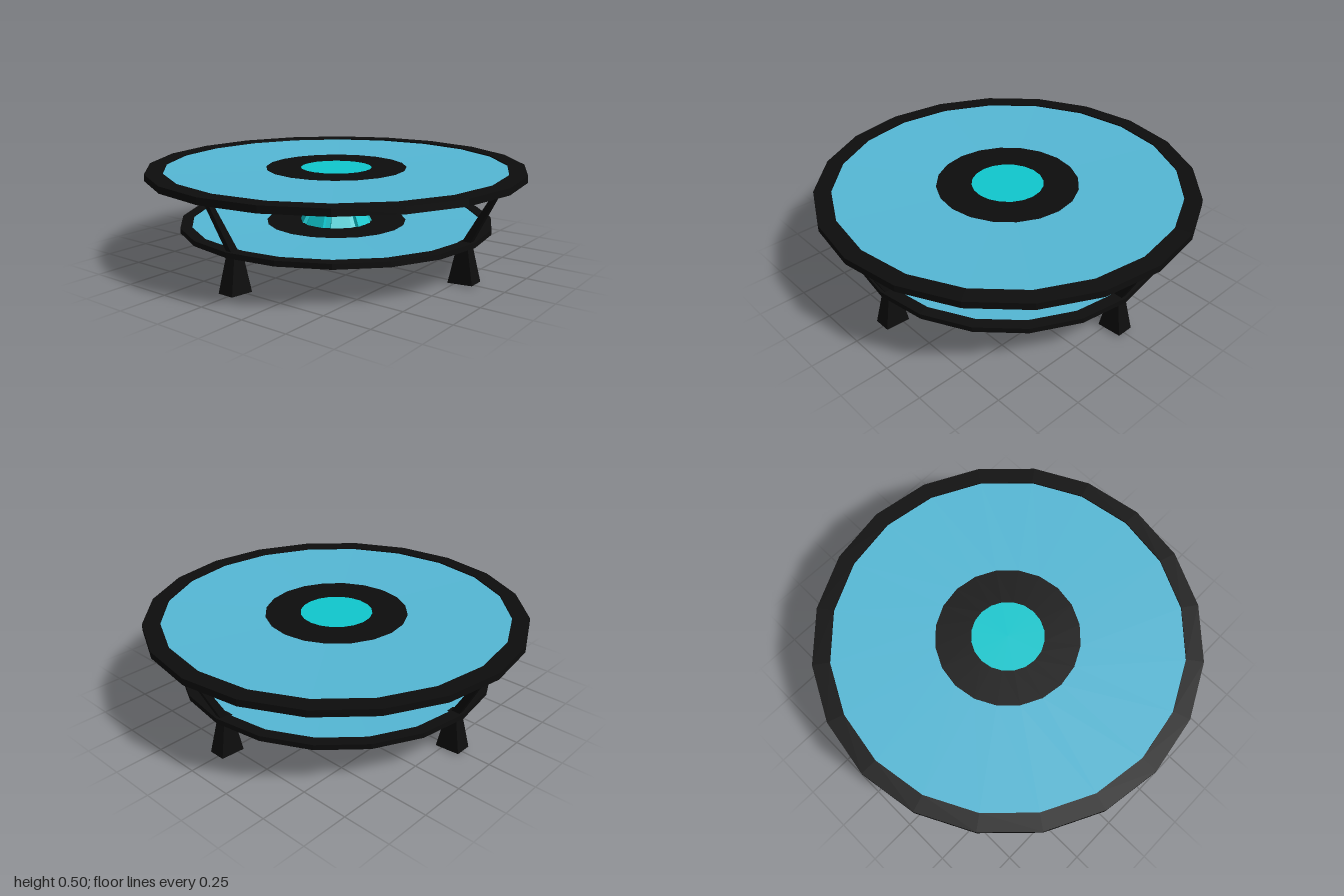
import * as THREE from 'three';

const SIDES = 20;
const material = (color) => new THREE.MeshStandardMaterial({ color, flatShading: true, side: THREE.DoubleSide });
const black = material(0x0d0d0d);
const glass = material(0x55b8d6);
const teal = material(0x10c8cf);

function part(name, geometry, mat) {
  const mesh = new THREE.Mesh(geometry, mat);
  mesh.name = name;
  return mesh;
}

// Closed [radius, height] outline turned about the y axis
function turned(name, outline, mat) {
  const points = [...outline, outline[0]].map(([r, y]) => new THREE.Vector2(r, y));
  return part(name, new THREE.LatheGeometry(points, SIDES), mat);
}

// Disc that dips toward the middle, with a black rim and a black centre ring
function shelf(name, y0, y1, rimOuter, rimInner, low) {
  const group = new THREE.Group();
  group.name = name;
  const ringInner = 0.19, ringOuter = 0.375;
  const top = y1 - 0.007;
  group.add(
    turned('rim', [[rimInner, y0], [rimOuter, y0], [rimOuter, y1], [rimInner, y1]], black),
    turned('glassPlate', [[ringOuter, low + 0.003], [rimInner, y0 + 0.006], [rimInner, top], [ringOuter, top - 0.008]], glass),
    turned('centreRing', [[ringInner, low], [ringOuter, low + 0.002], [ringOuter, top - 0.007], [ringInner, top - 0.009]], black),
  );
  return group;
}

// Surface through equal-length cross-section loops, optionally capped
function loft(loops, capped) {
  const n = loops[0].length;
  const index = [];
  for (let k = 0; k < loops.length - 1; k++) {
    for (let i = 0; i < n; i++) {
      const a = k * n + i, b = k * n + (i + 1) % n;
      index.push(a, a + n, b, b, a + n, b + n);
    }
  }
  if (capped) {
    const last = (loops.length - 1) * n;
    for (let i = 1; i < n - 1; i++) {
      index.push(0, i, i + 1, last, last + i + 1, last + i);
    }
  }
  const geometry = new THREE.BufferGeometry();
  geometry.setAttribute('position', new THREE.Float32BufferAttribute(loops.flat(2), 3));
  geometry.setIndex(index);
  geometry.computeVertexNormals();
  return geometry;
}

// Hourglass column: eight wide panels separated by shallow grooves
function columnLoop(y, r) {
  const loop = [];
  for (let i = 0; i < 8; i++) {
    for (const [deg, depth] of [[-16, 0], [16, 0], [18, 0.02], [27, 0.02]]) {
      const a = THREE.MathUtils.degToRad(i * 45 + deg);
      const rr = r - depth;
      loop.push([rr * Math.sin(a), y, rr * Math.cos(a)]);
    }
  }
  return loop;
}

// Rectangular section of a leg: inner and outer x, half width in z
const section = (xIn, xOut, w, yIn, yOut = yIn) => [
  [xIn, yIn, -w], [xOut, yOut, -w], [xOut, yOut, w], [xIn, yIn, w],
];

function leg() {
  const group = new THREE.Group();
  group.name = 'leg';
  group.add(
    part('foot', loft([section(0.717, 0.85, 0.044, 0, 0.01), section(0.755, 0.805, 0.024, 0.21)], true), black),
    part('strut', loft([section(0.765, 0.812, 0.016, 0.2), section(0.925, 0.952, 0.014, 0.475)], true), black),
  );
  return group;
}

export function createModel() {
  const model = new THREE.Group();
  model.name = 'roundTable';

  model.add(shelf('tableTop', 0.47, 0.505, 1, 0.91, 0.46));
  model.add(shelf('lowerShelf', 0.188, 0.215, 0.835, 0.775, 0.182));

  // Column, open below, closed by a disc in the table top
  const column = loft([columnLoop(0.19, 0.2), columnLoop(0.32, 0.132), columnLoop(0.462, 0.215)], false);
  model.add(part('column', column, teal));
  const disc = part('centreDisc', new THREE.CylinderGeometry(0.19, 0.19, 0.02, SIDES), teal);
  disc.position.y = 0.478;
  model.add(disc);

  // Four legs on the axes
  for (let i = 0; i < 4; i++) {
    const l = leg();
    l.rotation.y = i * Math.PI / 2;
    model.add(l);
  }
  return model;
}
